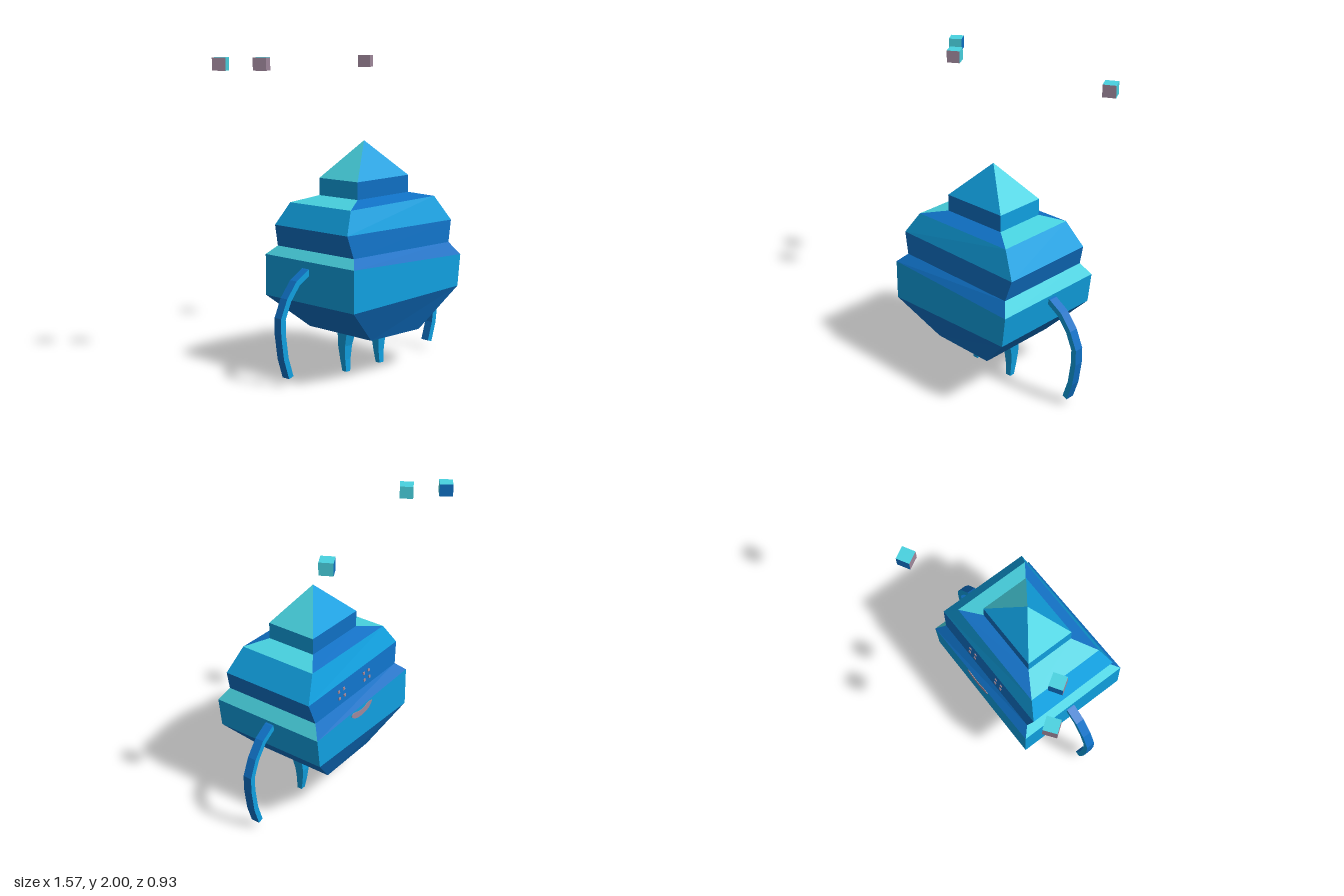
import * as THREE from 'three';

const mat = (name, color) => {
  const m = new THREE.MeshStandardMaterial({ color });
  m.name = name;
  return m;
};

export function createModel() {
  const sky = mat('sky blue', 0x10a0e0);
  const blue = mat('deep blue', 0x0f70c4);
  const cyan = mat('cyan', 0x48d2e0);
  const mauve = mat('mauve', 0xa0889c);

  const model = new THREE.Group();
  model.name = 'creature';
  const add = (parent, name, geometry, material) => {
    const mesh = new THREE.Mesh(geometry, material);
    mesh.name = name;
    parent.add(mesh);
    return mesh;
  };
  const group = (name) => {
    const g = new THREE.Group();
    g.name = name;
    model.add(g);
    return g;
  };
  const flat = (points) => {
    const g = new THREE.BufferGeometry();
    g.setAttribute('position', new THREE.Float32BufferAttribute(points.flat(), 3));
    g.computeVertexNormals();
    return g;
  };

  // ring: y at -x, y at +x, x min, x max, z min, z max
  const corners = ([yL, yR, x0, x1, z0, z1]) =>
    [[x0, yL, z1], [x1, yR, z1], [x1, yR, z0], [x0, yL, z0]];

  // Stacked four-sided bands; each band has a front/back and a side colour
  const loft = (parent, rings, bands) => {
    const c = corners(rings[0]);
    add(parent, 'underside', flat([c[0], c[3], c[2], c[0], c[2], c[1]]), bands[0][1]);
    bands.forEach(([name, frontMat, sideMat], k) => {
      const lo = corners(rings[k]), hi = corners(rings[k + 1]);
      const faces = [[], []];
      for (let i = 0; i < 4; i++) {
        const j = (i + 1) % 4;
        faces[i % 2].push(lo[i], lo[j], hi[j], lo[i], hi[j], hi[i]);
      }
      add(parent, name + 'FrontBack', flat(faces[0]), frontMat);
      add(parent, name + 'Sides', flat(faces[1]), sideMat);
    });
  };

  // Body
  loft(group('body'), [
    [0.26, 0.26, -0.16, 0.28, -0.205, 0.35],
    [0.49, 0.525, -0.43, 0.525, -0.325, 0.465],
    [0.755, 0.73, -0.43, 0.55, -0.325, 0.465],
    [0.81, 0.81, -0.375, 0.495, -0.27, 0.41],
    [0.95, 0.95, -0.415, 0.535, -0.25, 0.395],
    [1.09, 1.11, -0.33, 0.43, -0.2, 0.34],
    [1.13, 1.14, -0.17, 0.29, -0.1, 0.24],
    [1.24, 1.25, -0.17, 0.29, -0.1, 0.24],
    [1.475, 1.475, 0.06, 0.06, 0.07, 0.07],
  ], [
    ['belly', blue, blue],
    ['waist', sky, sky],
    ['ledge', blue, cyan],
    ['faceBand', blue, blue],
    ['upperBand', sky, sky],
    ['shoulder', blue, cyan],
    ['neck', blue, sky],
    ['peak', sky, cyan],
  ]);

  // Legs
  for (const [name, x] of [['rightLeg', -0.097], ['leftLeg', 0.212]]) {
    loft(group(name), [
      [0, 0, x - 0.018, x + 0.018, 0.05, 0.085],
      [0.08, 0.08, x - 0.024, x + 0.024, 0.035, 0.082],
      [0.17, 0.17, x - 0.032, x + 0.032, 0.025, 0.088],
      [0.265, 0.265, x - 0.041, x + 0.041, 0.03, 0.112],
    ], ['foot', 'shin', 'thigh'].map((n) => [n, sky, sky]));
  }

  // Arms: a curved strip extruded in z, mirrored about the body's middle
  const path = [[0.5, 0.705], [0.55, 0.69], [0.64, 0.635], [0.715, 0.54],
    [0.763, 0.43], [0.763, 0.33], [0.742, 0.18], [0.702, 0.055]];
  for (const [name, side] of [['leftArm', 1], ['rightArm', -1]]) {
    const pts = path.map(([x, y]) => new THREE.Vector2(0.06 + side * (x - 0.06), y));
    const edge = (s) => pts.map((p, i) => {
      const d = pts[Math.min(i + 1, pts.length - 1)].clone().sub(pts[Math.max(i - 1, 0)]).normalize();
      return new THREE.Vector2(p.x - d.y * s, p.y + d.x * s);
    });
    const shape = new THREE.Shape([...edge(0.019), ...edge(-0.019).reverse()]);
    const geo = new THREE.ExtrudeGeometry(shape, { depth: 0.06, bevelEnabled: false });
    add(model, name, geo, [sky, blue]).position.z = 0.017;
  }

  // Eyes: small dots on the back-facing face band
  for (const [name, x] of [['rightEye', -0.06], ['leftEye', 0.21]]) {
    const eye = group(name);
    eye.position.set(x, 0.88, -0.261);
    eye.rotation.x = 0.14;
    for (const dx of [-0.027, 0.027]) {
      for (const dy of [-0.027, 0.02]) {
        add(eye, 'eyeDot', new THREE.BoxGeometry(0.018, 0.018, 0.008), mauve).position.set(dx, dy, 0);
      }
    }
  }

  // Mouth: thin curved plate below the ledge
  const lips = new THREE.Shape();
  lips.moveTo(-0.11, 0.02);
  lips.quadraticCurveTo(-0.07, 0.035, -0.04, 0.015);
  lips.quadraticCurveTo(0, 0, 0.05, 0.015);
  lips.quadraticCurveTo(0.11, 0.035, 0.11, 0.005);
  lips.quadraticCurveTo(0.08, -0.035, 0, -0.035);
  lips.quadraticCurveTo(-0.09, -0.03, -0.11, 0.02);
  add(model, 'mouth', new THREE.ExtrudeGeometry(lips, { depth: 0.008, bevelEnabled: false }), mauve)
    .position.set(0.08, 0.708, -0.329);

  // Floating cubes; face order +x, -x, +y, -y, +z, -z
  const cubes = [
    [-0.73, -0.38, 0.62, [blue, mauve, cyan, cyan, cyan, mauve]],
    [-0.557, -0.2, 0.56, [cyan, mauve, cyan, cyan, mauve, blue]],
    [0.568, -0.412, 0.5, [cyan, mauve, cyan, cyan, mauve, blue]],
  ];
  for (const [x, z, turn, mats] of cubes) {
    const cube = add(model, 'floatingCube', new THREE.BoxGeometry(0.085, 0.08, 0.085), mats);
    cube.position.set(x, 1.96, z);
    cube.rotation.y = turn;
  }

  return model;
}
